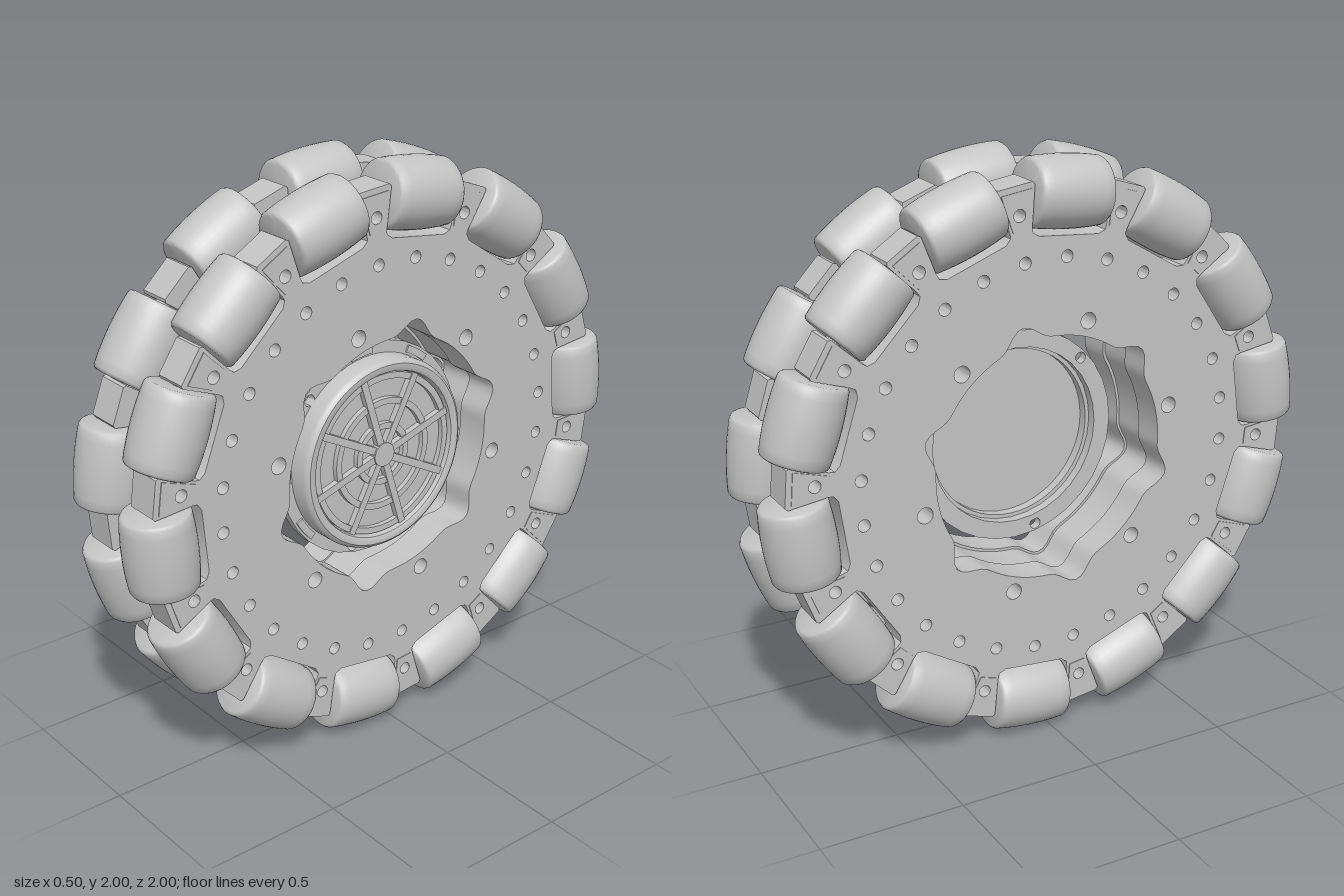
import * as THREE from 'three';
import { toCreasedNormals } from 'three/addons/utils/BufferGeometryUtils.js';

const COUNT = 14;
const STEP = (Math.PI * 2) / COUNT;
const START = THREE.MathUtils.degToRad(94.8); // first bracket of the outer row
const SCALLOP = THREE.MathUtils.degToRad(17); // first scallop of the bore
const ROW_Z = 0.131; // distance of each roller row from the middle
const V = (x, y) => new THREE.Vector2(x, y);
const polar = (r, a) => V(r * Math.cos(a), r * Math.sin(a));

const grey = new THREE.MeshStandardMaterial({ color: 0xc4c4c4 });
grey.name = 'wheelGrey';

function add(parent, name, geometry, x = 0, y = 0, z = 0) {
  const mesh = new THREE.Mesh(geometry, grey);
  mesh.name = name;
  mesh.position.set(x, y, z);
  parent.add(mesh);
  return mesh;
}

function extrude(shape, z0, z1) {
  const g = new THREE.ExtrudeGeometry(shape, { depth: z1 - z0, bevelEnabled: false, curveSegments: 16 });
  g.translate(0, 0, z0);
  return toCreasedNormals(g, 0.6);
}

// Profile points are [radius, height]; the axis is turned to z
function lathe(points, segments = 64) {
  const g = new THREE.LatheGeometry(points.map(([r, h]) => V(r, h)), segments);
  g.rotateX(Math.PI / 2);
  return toCreasedNormals(g, 0.6);
}

function punch(shape, r, a, size) {
  const c = polar(r, a);
  shape.holes.push(new THREE.Path().absarc(c.x, c.y, size, 0, Math.PI * 2, true));
}

// Scalloped bore, bolt holes and the ring of small holes
function punchCommon(shape, boreRadius) {
  const bore = [];
  for (let i = 0; i < 144; i++) {
    const a = (i / 144) * Math.PI * 2;
    bore.push(polar(boreRadius + 0.055 * Math.max(0, Math.cos(6 * (a - SCALLOP))) ** 3, a));
  }
  shape.holes.push(new THREE.Path(bore));
  for (let i = 0; i < 6; i++) punch(shape, 0.475, SCALLOP + ((i + 0.5) * Math.PI) / 3, 0.028);
  for (let i = 0; i < COUNT * 2; i++) punch(shape, 0.683, START + (i * STEP) / 2, 0.021);
  return shape;
}

// Half of a bracket outline: [sideways, outward]
const BRACKET = [[-0.06, 0.757], [-0.04, 0.775], [-0.041, 0.795], [-0.069, 0.925], [-0.062, 0.935]];

function plateShape(start) {
  const points = [];
  const outline = [...BRACKET, ...BRACKET.map(([s, r]) => [-s, r]).reverse()];
  for (let i = 0; i < COUNT; i++) {
    const a = start + i * STEP;
    for (const [s, r] of outline) {
      points.push(V(r * Math.cos(a) - s * Math.sin(a), r * Math.sin(a) + s * Math.cos(a)));
    }
  }
  const shape = punchCommon(new THREE.Shape(points), 0.422);
  for (let i = 0; i < COUNT; i++) punch(shape, 0.84, start + i * STEP, 0.021);
  return shape;
}

// Barrel roller whose side follows the wheel's rim
function rollerGeometry() {
  const half = 0.134;
  const side = (y) => Math.sqrt(1 - y * y) - 0.88;
  const profile = [V(0, -half), V(0.1, -half), V(0.107, -half + 0.003)];
  for (let i = 0; i <= 8; i++) {
    const y = (i / 4 - 1) * (half - 0.011);
    profile.push(V(side(y), y));
  }
  profile.push(V(0.107, half - 0.003), V(0.1, half), V(0, half));
  return toCreasedNormals(new THREE.LatheGeometry(profile, 40), 0.6);
}

function buildRow(name, side, start) {
  const row = new THREE.Group();
  row.name = name;
  const [z0, z1] = side > 0 ? [0.07, 0.19] : [-0.19, -0.07];
  add(row, 'bracketPlate', extrude(plateShape(start), z0, z1));
  const roller = rollerGeometry();
  const axle = new THREE.CylinderGeometry(0.025, 0.025, 0.31, 16);
  // Raised pad on the outer face of each bracket
  const padShape = new THREE.Shape([V(0.79, -0.03), V(0.915, -0.055), V(0.915, 0.055), V(0.79, 0.03)]);
  punch(padShape, 0.84, 0, 0.021);
  const pad = extrude(padShape, side > 0 ? 0.19 : -0.193, side > 0 ? 0.193 : -0.19);
  for (let i = 0; i < COUNT; i++) {
    const arm = new THREE.Group();
    arm.name = 'rollerStation';
    arm.rotation.z = start + (i + 0.5) * STEP;
    add(arm, 'roller', roller, 0.88, 0, side * ROW_Z);
    add(arm, 'axle', axle, 0.88, 0, side * ROW_Z);
    row.add(arm);
    add(row, 'bracketPad', pad).rotation.z = start + i * STEP;
  }
  return row;
}

function buildHub() {
  const hub = new THREE.Group();
  hub.name = 'hub';
  // Flange with three through holes
  const flange = new THREE.Shape().absarc(0, 0, 0.377, 0, Math.PI * 2, false);
  flange.holes.push(new THREE.Path().absarc(0, 0, 0.315, 0, Math.PI * 2, true));
  for (let i = 0; i < 3; i++) punch(flange, 0.351, SCALLOP + (i * Math.PI * 2) / 3, 0.02);
  add(hub, 'flange', extrude(flange, 0.05, 0.085));
  // Curved pads around the flange
  const arc = new THREE.Shape();
  arc.absarc(0, 0, 0.367, -0.13, 0.13, false);
  arc.absarc(0, 0, 0.342, 0.13, -0.13, true);
  const arcPad = extrude(arc, 0.085, 0.091);
  for (let i = 0; i < 9; i++) {
    if (i % 3) add(hub, 'flangePad', arcPad).rotation.z = SCALLOP + (i * Math.PI * 2) / 9;
  }
  // Closed cup: back face, inner wall, barrel, rounded rim and recessed front face
  add(hub, 'cup', lathe([[0, 0.12], [0.3, 0.12], [0.3, 0.085], [0.315, 0.085], [0.315, 0.05], [0.335, 0.05],
    [0.335, 0.145], [0.33, 0.158], [0.32, 0.165], [0.302, 0.165], [0.294, 0.16], [0.29, 0.15], [0.29, 0.13], [0, 0.13]]));
  // Grille rings, spokes and centre cap
  for (const r of [0.275, 0.187, 0.1]) {
    add(hub, 'grilleRing', lathe([[r + 0.011, 0.128], [r + 0.011, 0.148], [r - 0.011, 0.148], [r - 0.011, 0.128]]));
  }
  const spoke = new THREE.BoxGeometry(0.26, 0.026, 0.024);
  spoke.translate(0.16, 0, 0.14);
  for (let i = 0; i < 8; i++) add(hub, 'spoke', spoke).rotation.z = SCALLOP + (i * Math.PI) / 4;
  add(hub, 'centreCap', lathe([[0.042, 0.128], [0.042, 0.157], [0, 0.157]], 24));
  return hub;
}

export function createModel() {
  const model = new THREE.Group();
  model.name = 'omniWheel';
  // Built around the z axis, then turned so the axle lies along x
  const wheel = new THREE.Group();
  wheel.name = 'wheel';
  wheel.rotation.y = Math.PI / 2;
  wheel.position.y = 1;
  wheel.add(buildRow('leftRow', 1, START), buildRow('rightRow', -1, START + STEP / 2));
  // Core between the plates, its bore slightly wider so the tunnel is stepped
  const disc = new THREE.Shape().absarc(0, 0, 0.735, 0, Math.PI * 2, false);
  add(wheel, 'core', extrude(punchCommon(disc, 0.432), -0.07, 0.07));
  wheel.add(buildHub());
  model.add(wheel);
  return model;
}
